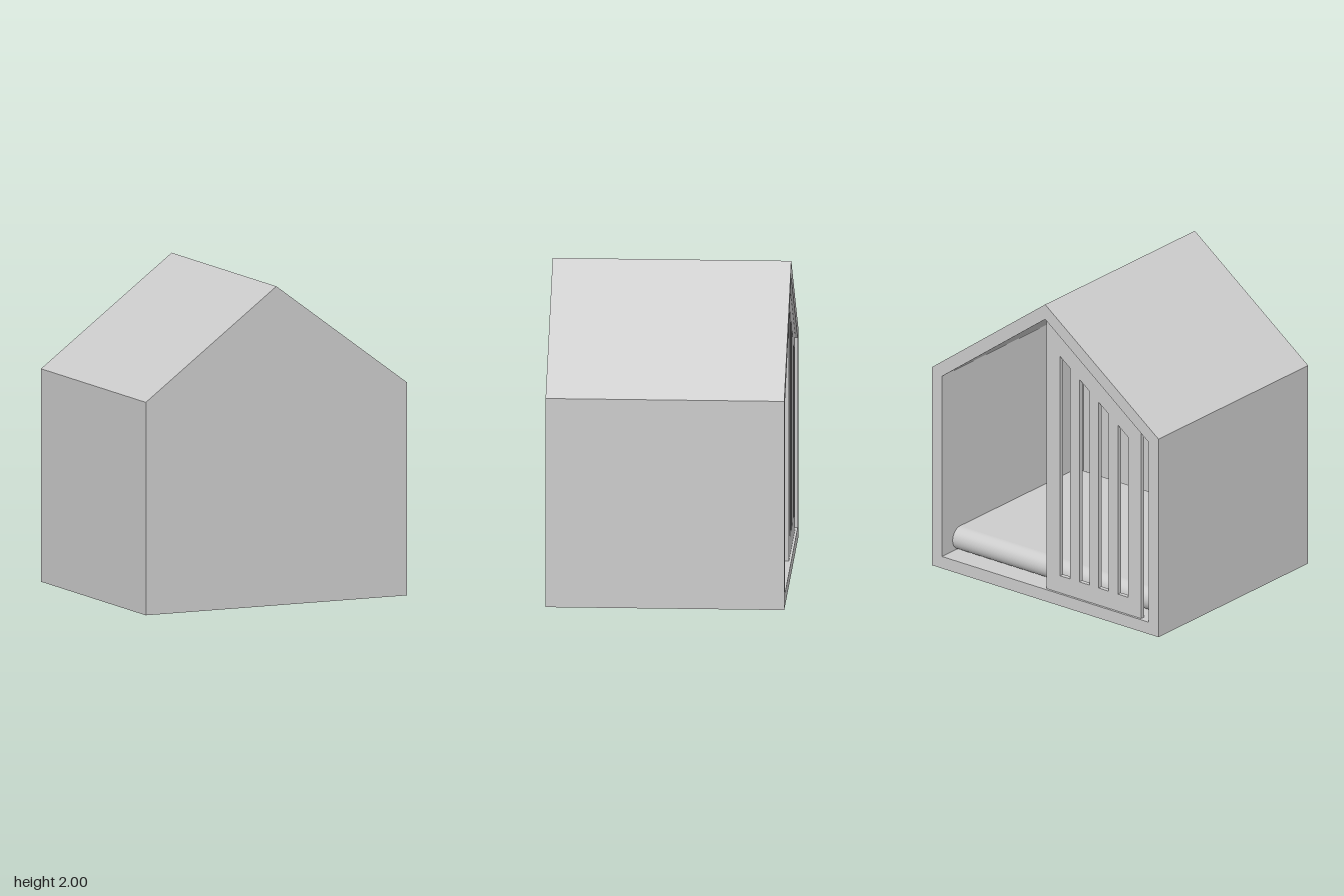
import * as THREE from 'three';

const HALF_W = 0.9, EAVE = 1.335, PEAK = 2, HALF_D = 0.74, WALL = 0.08;
const SLOPE = (PEAK - EAVE) / HALF_W;
const STRETCH = Math.hypot(1, SLOPE); // vertical drop per unit of roof thickness

// Height of the roof line at x, sunk by a perpendicular inset
const roofY = (x, inset) => PEAK - SLOPE * Math.abs(x) - inset * STRETCH;

const outline = (points, Type = THREE.Shape) =>
  new Type(points.map(([x, y]) => new THREE.Vector2(x, y)));

// Gabled outline, shrunk evenly on all sides by the inset
function gable(inset, Type) {
  const w = HALF_W - inset;
  return outline([[-w, inset], [w, inset], [w, roofY(w, inset)],
    [0, roofY(0, inset)], [-w, roofY(w, inset)]], Type);
}

function extrude(shape, z0, z1) {
  const g = new THREE.ExtrudeGeometry(shape, { depth: z1 - z0, bevelEnabled: false, curveSegments: 16 });
  return g.translate(0, 0, z0);
}

export function createModel() {
  const model = new THREE.Group();
  model.name = 'gabledPetHouse';
  const grey = new THREE.MeshStandardMaterial({ color: 0xcccccc });
  grey.name = 'light grey';

  const add = (name, geometry) => {
    const mesh = new THREE.Mesh(geometry, grey);
    mesh.name = name;
    model.add(mesh);
    return mesh;
  };

  // Floor, side walls and roof as one hollow shell, open at the back
  const shell = gable(0);
  shell.holes.push(gable(WALL, THREE.Path));
  add('shell', extrude(shell, -HALF_D, HALF_D - WALL));

  // Solid front wall
  add('frontWall', extrude(gable(0), HALF_D - WALL, HALF_D));

  // Slatted door covering one half of the opening
  const doorW = 0.75, slotW = 0.08, pitch = 0.153, margin = 0.115;
  const top = WALL + 0.004;
  const door = outline([[-doorW, WALL], [0, WALL], [0, roofY(0, top)], [-doorW, roofY(doorW, top)]]);
  for (let i = 0; i < 4; i++) {
    const a = -(0.146 + i * pitch) - slotW / 2, b = a + slotW;
    door.holes.push(outline([[a, WALL + margin], [b, WALL + margin],
      [b, roofY(b, top + margin)], [a, roofY(a, top + margin)]], THREE.Path));
  }
  add('slattedDoor', extrude(door, -HALF_D + 0.015, -HALF_D + 0.045));

  // Cushion with fully rounded front and back edges, running wall to wall
  const r = 0.075, zEnd = 0.64 - r, halfX = HALF_W - WALL - 0.005;
  const pad = new THREE.Shape();
  pad.absarc(zEnd, r, r, -Math.PI / 2, Math.PI / 2, false);
  pad.absarc(-zEnd, r, r, Math.PI / 2, Math.PI * 1.5, false);
  const cushion = add('cushion', extrude(pad, -halfX, halfX));
  cushion.rotation.y = Math.PI / 2;
  cushion.position.y = WALL;

  return model;
}
